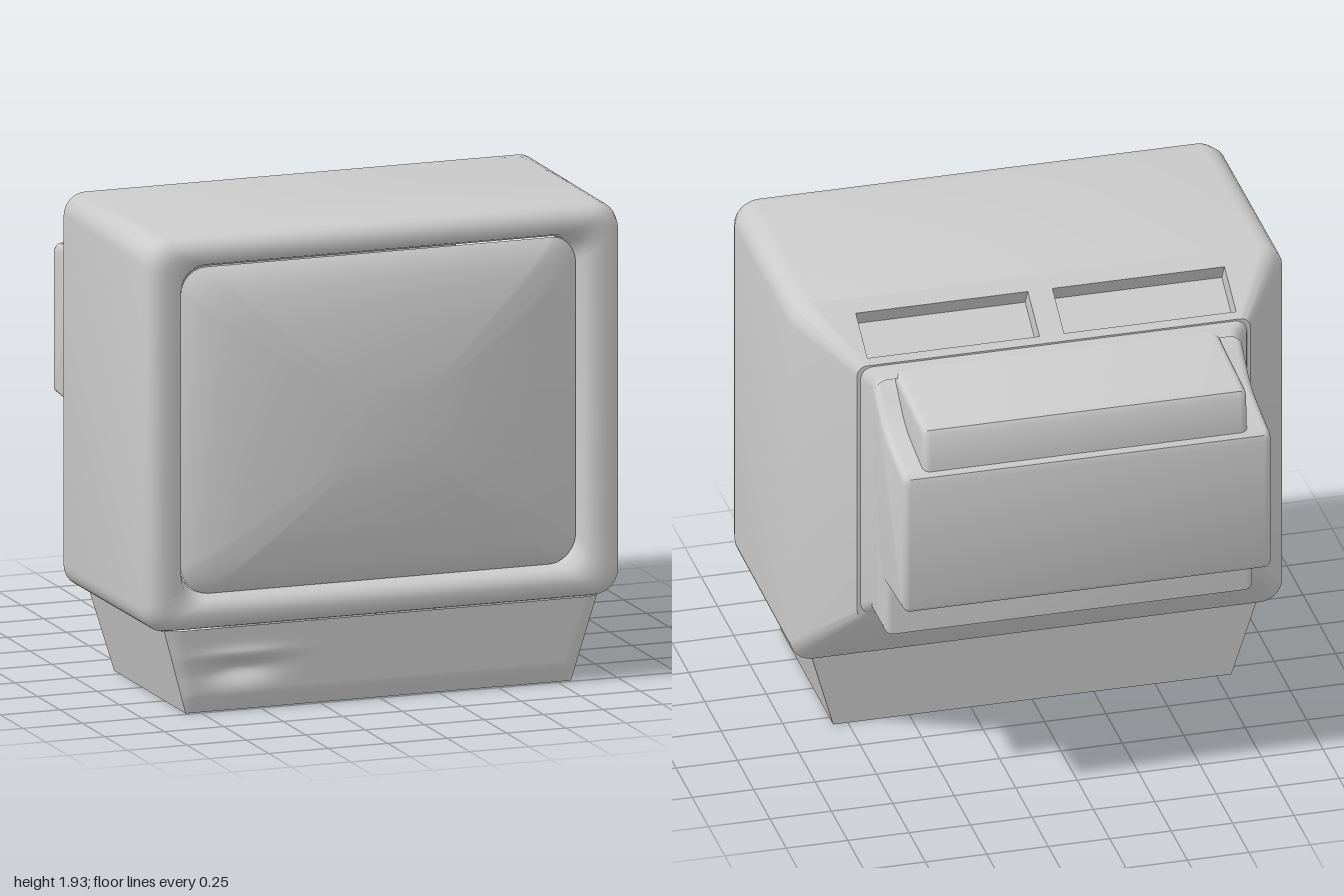
import * as THREE from 'three';
import { toCreasedNormals } from 'three/addons/utils/BufferGeometryUtils.js';

const grey = new THREE.MeshStandardMaterial({ color: 0xcccccc });
const CORNER = 6; // segments per rounded corner
const RING = 4 * (CORNER + 1);

function add(parent, name, geometry) {
  const mesh = new THREE.Mesh(geometry, grey);
  mesh.name = name;
  parent.add(mesh);
  return mesh;
}

// Points of a rounded rectangle, anticlockwise from the lower right corner
function roundedRing(hx, y0, y1, r) {
  const points = [];
  const centres = [[hx - r, y0 + r], [hx - r, y1 - r], [r - hx, y1 - r], [r - hx, y0 + r]];
  centres.forEach(([cx, cy], c) => {
    for (let k = 0; k <= CORNER; k++) {
      const a = (c - 1 + k / CORNER) * Math.PI / 2;
      points.push([cx + r * Math.cos(a), cy + r * Math.sin(a)]);
    }
  });
  return points;
}

// Skin a list of rings of [x, y, z]; skip(i, j) leaves a quad open
function skin(rings, crease, skip = () => false) {
  const index = [];
  for (let i = 0; i < rings.length - 1; i++) {
    for (let j = 0; j < RING; j++) {
      if (skip(i, j)) continue;
      const n = (j + 1) % RING;
      const a = i * RING + j, b = i * RING + n, c = b + RING, d = a + RING;
      index.push(a, b, c, a, c, d);
    }
  }
  const geo = new THREE.BufferGeometry();
  geo.setAttribute('position', new THREE.Float32BufferAttribute(rings.flat(2), 3));
  geo.setIndex(index);
  geo.computeVertexNormals();
  return toCreasedNormals(geo, crease);
}

// Sections are [z, half width, bottom, top, corner radius]
const loft = (sections, crease, skip) => skin(
  sections.map(([z, ...s]) => roundedRing(...s).map(([x, y]) => [x, y, z])), crease, skip);

// Side profile of [z, y] points extruded across the width
function extrudeAcross(profile, halfWidth, bevel) {
  const shape = new THREE.Shape(profile.map(([z, y]) => new THREE.Vector2(z, y)));
  const geo = new THREE.ExtrudeGeometry(shape, {
    depth: 2 * (halfWidth - bevel), bevelEnabled: true, bevelSize: bevel,
    bevelThickness: bevel, bevelOffset: -bevel, bevelSegments: 4,
  });
  geo.translate(0, 0, bevel - halfWidth).rotateY(-Math.PI / 2);
  return toCreasedNormals(geo, 0.6);
}

// Remove one face (0..5) of a box
function openBox(geo, face) {
  geo.setIndex(Array.from(geo.index.array).filter((_, i) => Math.floor(i / 6) !== face));
  geo.clearGroups();
  return geo;
}

export function createModel() {
  const model = new THREE.Group();
  model.name = 'television';

  // Casing: rear wall, taper, straight body, rounded bezel and screen recess
  const casing = [
    [-0.39, 0, 1.2, 1.2, 0],
    [-0.39, 0.80, 0.64, 1.77, 0.04],
    [-0.12, 1.00, 0.34, 1.93, 0.09],
    [0.74, 1.00, 0.34, 1.93, 0.10],
    [0.785, 0.99, 0.352, 1.92, 0.10],
    [0.812, 0.965, 0.377, 1.895, 0.09],
    [0.82, 0.93, 0.41, 1.865, 0.08],
    [0.815, 0.88, 0.44, 1.84, 0.09],
    [0.79, 0.85, 0.463, 1.82, 0.10],
    [0.74, 0.835, 0.478, 1.803, 0.11],
    [0.64, 0.825, 0.485, 1.795, 0.11],
  ];
  const topEdge = 2 * (CORNER + 1) - 1;
  add(model, 'casing', loft(casing, 0.75, (i, j) => i === 1 && j === topEdge));

  // Domed screen
  const edge = roundedRing(0.83, 0.48, 1.80, 0.11);
  const midY = 1.14;
  const screen = [1, 0.985, 0.96, 0.92, 0.86, 0.75, 0.6, 0.4, 0.2, 0].map((t) =>
    edge.map(([ex, ey]) => {
      const x = ex * t, y = (ey - midY) * t;
      const z = 0.915 - 0.105 * (x / 0.83) ** 2 - 0.05 * (y / 0.66) ** 2 - 0.04 * t ** 12;
      return [x, midY + y, z];
    }));
  add(model, 'screen', skin(screen, 1.2));

  // Sloping top panel with two recessed vents; local z runs up the slope
  const vents = new THREE.Group();
  vents.name = 'ventPanel';
  vents.position.set(0, 1.77, -0.39);
  vents.rotation.x = -Math.atan2(0.16, 0.27);
  model.add(vents);
  const length = Math.hypot(0.16, 0.27);
  const [s0, s1, x0, x1, depth] = [0.035, 0.244, 0.05, 0.75, 0.08];
  const rectangle = (points) => points.map(([x, s]) => new THREE.Vector2(x, -s));
  const panel = new THREE.Shape(rectangle([[-0.76, 0], [0.76, 0], [0.91, length], [-0.91, length]]));
  for (const side of [-1, 1]) {
    panel.holes.push(new THREE.Path(rectangle(
      [[side * x0, s0], [side * x1, s0], [side * x1, s1], [side * x0, s1]])));
    const recess = openBox(new THREE.BoxGeometry(x1 - x0, depth, s1 - s0), 2);
    recess.setIndex(Array.from(recess.index.array).reverse());
    recess.computeVertexNormals();
    add(vents, side > 0 ? 'leftVent' : 'rightVent', recess)
      .position.set(side * (x0 + x1) / 2, -depth / 2, (s0 + s1) / 2);
  }
  add(vents, 'slopePanel', new THREE.ShapeGeometry(panel).rotateX(-Math.PI / 2));

  // Collar where the rear housing leaves the casing
  add(model, 'collar', loft([
    [-0.46, 0.745, 0.70, 1.735, 0.05],
    [-0.425, 0.755, 0.69, 1.745, 0.05],
    [-0.405, 0.78, 0.67, 1.76, 0.05],
    [-0.38, 0.79, 0.655, 1.765, 0.05],
  ], 0.8));

  // Wide rear housing with its stepped underside, and the raised hump above
  add(model, 'rearHousing', extrudeAcross([
    [-0.36, 1.74], [-0.43, 1.735], [-0.50, 1.68], [-0.57, 1.62], [-0.64, 1.585],
    [-0.74, 1.565], [-0.89, 1.54], [-0.908, 1.525], [-0.915, 1.50], [-0.915, 0.95],
    [-0.905, 0.935], [-0.63, 0.915], [-0.63, 0.69], [-0.36, 0.69],
  ], 0.75, 0.03));
  add(model, 'rearHump', extrudeAcross([
    [-0.36, 1.752], [-0.84, 1.722], [-0.865, 1.712], [-0.878, 1.69], [-0.89, 1.56],
    [-0.89, 1.45], [-0.36, 1.45],
  ], 0.66, 0.03));

  // Pedestal base, tapering towards the floor
  const halfWidth = (v) => 0.81 + 0.10 * v;
  const frontZ = (v) => 0.735 + 0.025 * v;
  const base = openBox(new THREE.BoxGeometry(2, 1, 2), 4);
  const bp = base.attributes.position;
  for (let i = 0; i < bp.count; i++) {
    const v = bp.getY(i) + 0.5;
    bp.setXYZ(i, bp.getX(i) * halfWidth(v), 0.345 * v,
      bp.getZ(i) > 0 ? frontZ(v) : -0.06 - 0.03 * v);
  }
  base.computeVertexNormals();
  add(model, 'base', base);

  // Base front panel, slightly proud, with a finger dent under a small brow
  const front = new THREE.PlaneGeometry(2, 1, 80, 28);
  const fp = front.attributes.position;
  const bell = (d, w) => Math.exp(-((d / w) ** 2));
  for (let i = 0; i < fp.count; i++) {
    const u = fp.getX(i), v = fp.getY(i) + 0.5;
    const x = u * halfWidth(v), y = 0.345 * v;
    const proud = 0.02 * Math.min(1, (1 - Math.abs(u)) * 25) * Math.min(1, v * 5);
    const dent = 0.045 * bell(x + 0.6, 0.13) * bell(y - 0.165, 0.045);
    const brow = 0.018 * bell(x + 0.58, 0.16) * bell(y - 0.23, 0.025);
    fp.setXYZ(i, x, y, frontZ(v) + proud - dent + brow);
  }
  front.computeVertexNormals();
  add(model, 'baseFront', front);

  return model;
}
